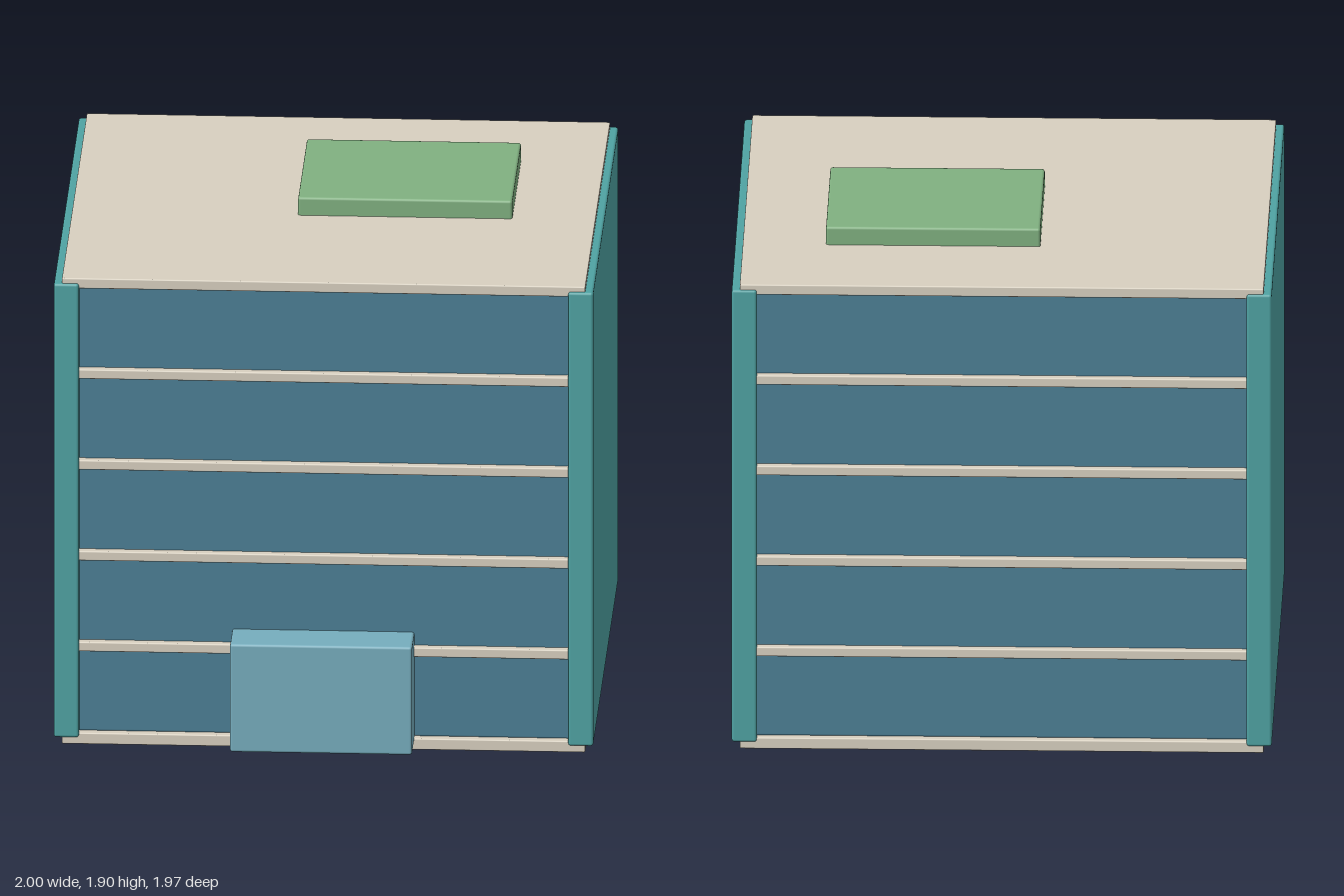
import * as THREE from 'three';
import { RoundedBoxGeometry } from 'three/addons/geometries/RoundedBoxGeometry.js';

const material = (color) => new THREE.MeshStandardMaterial({ color });

export function createModel() {
  const model = new THREE.Group();
  const stone = material(0xd8d0c0);
  const teal = material(0x4fa3a3);
  const glass = material(0x4c7f95);
  const paleBlue = material(0x76adbd);
  const green = material(0x80b080);

  // Soft-edged box given by its extents on each axis
  function block(name, mat, [x0, x1], [y0, y1], [z0, z1], bevel = 0.01) {
    const geometry = new RoundedBoxGeometry(x1 - x0, y1 - y0, z1 - z0, 2, bevel);
    const mesh = new THREE.Mesh(geometry, mat);
    mesh.name = name;
    mesh.position.set((x0 + x1) / 2, (y0 + y1) / 2, (z0 + z1) / 2);
    model.add(mesh);
  }

  // Glazed core, set back from the slab edges
  block('glazing', glass, [-0.94, 0.94], [0.04, 1.8], [-0.95, 0.815]);

  // Ground slab, four floor slabs and roof slab
  const floors = 5;
  const pitch = 0.357;
  for (let i = 0; i <= floors; i++) {
    const top = 0.044 + i * pitch;
    const name = i === 0 ? 'groundSlab' : i === floors ? 'roofSlab' : 'floorSlab' + i;
    const y = i === 0 ? [0, 0.044] : i === floors ? [1.79, 1.83] : [top - 0.037, top];
    block(name, stone, [-0.97, 0.97], y, [-0.978, 0.845], 0.005);
  }

  // Solid walls on both sides
  block('leftWall', teal, [0.907, 1], [0.028, 1.81], [-0.986, 0.855]);
  block('rightWall', teal, [-1, -0.907], [0.028, 1.81], [-0.986, 0.855]);

  // Entrance porch
  block('entrance', paleBlue, [-0.34, 0.335], [0.028, 0.452], [0.7, 0.986]);

  // Planted box on the roof
  block('roofGarden', green, [-0.132, 0.662], [1.78, 1.9], [-0.542, 0.108]);

  return model;
}
